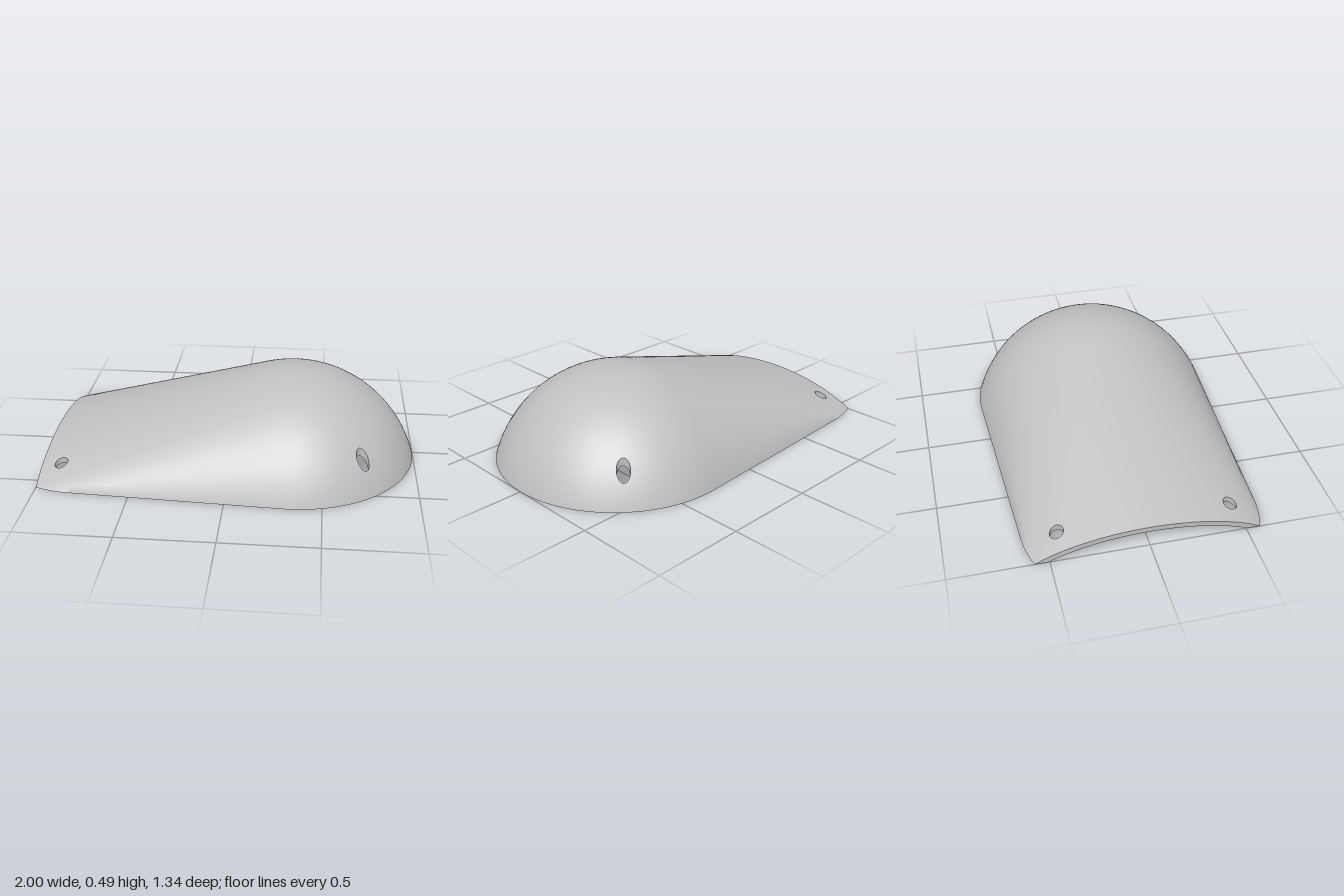
import * as THREE from 'three';

const CX = 0.33, DEPTH = 0.213;      // dome sphere centre is (CX, -DEPTH, 0)
const DISC_X = -0.78;                // centre of the flat disc the tail tapers to
const ROWS_TAIL = 40, ROWS_DOME = 26, COLS = 48;
const HOLE_R = 0.035, HOLE_SEG = 28;
const HOLES = [[-0.89, 0.445], [-0.89, -0.445], [0.70, 0.445], [0.70, -0.445]];

// Upper hull of a sphere (radius R) and a horizontal disc (radius r, height y0).
// Returns a function giving the height and normal at any plan position.
function hullSurface(R, r, y0) {
  const dx = CX - DISC_X, d = DEPTH + y0;
  const sin0 = d / R, cos0 = Math.sqrt(1 - sin0 * sin0);
  const phi0 = Math.acos((r - (R - d * sin0) / cos0) / dx);

  // normal of the plane touching both the disc edge at phi and the sphere
  const normalAt = (phi) => {
    const a = r - dx * Math.cos(phi);
    const tilt = Math.atan2(d, a) + Math.acos(Math.min(1, R / Math.hypot(a, d)));
    return new THREE.Vector3(Math.cos(tilt) * Math.cos(phi), Math.sin(tilt), Math.cos(tilt) * Math.sin(phi));
  };
  const planeY = (phi, x, z) => {
    const n = normalAt(phi);
    const px = DISC_X + r * Math.cos(phi), pz = r * Math.sin(phi);
    return y0 + (n.x * (px - x) + n.z * (pz - z)) / n.y;
  };

  return (x, zSigned) => {
    const z = Math.abs(zSigned), side = zSigned < 0 ? -1 : 1;
    const steps = 36, step = (Math.PI - phi0) / steps;
    let best = phi0, low = Infinity;
    for (let k = 0; k <= steps; k++) {
      const y = planeY(phi0 + k * step, x, z);
      if (y < low) { low = y; best = phi0 + k * step; }
    }
    let a = Math.max(phi0, best - step), b = Math.min(Math.PI, best + step);
    for (let k = 0; k < 26; k++) {
      const p = a + (b - a) / 3, q = b - (b - a) / 3;
      if (planeY(p, x, z) < planeY(q, x, z)) b = q; else a = p;
    }
    const phi = (a + b) / 2, n = normalAt(phi);
    const qx = CX + R * n.x, qz = R * n.z;
    const px = DISC_X + r * Math.cos(phi), pz = r * Math.sin(phi);
    let y = planeY(phi, x, z);
    if ((x - qx) * (qx - px) + (z - qz) * (qz - pz) > 0) {   // past the taper: dome
      const h = Math.sqrt(Math.max(0, R * R - (x - CX) ** 2 - z * z));
      y = h - DEPTH;
      n.set(x - CX, h, z).normalize();
    }
    n.z *= side;
    return { y, n };
  };
}

// One skin of the shell as a grid with round holes; also returns its edges.
function buildSkin(R, r, y0, flip) {
  const surface = hullSurface(R, r, y0);
  const baseR = Math.sqrt(R * R - DEPTH * DEPTH);
  const halfWidth = (x) => {
    let a = 0, b = 0.8;
    for (let k = 0; k < 30; k++) {
      const m = (a + b) / 2;
      if (surface(x, m).y > 0) a = m; else b = m;
    }
    return a;
  };

  const xs = [];
  for (let i = 0; i < ROWS_TAIL; i++) xs.push(-1 + (CX + 1) * i / ROWS_TAIL);
  for (let i = 0; i <= ROWS_DOME; i++) xs.push(CX + baseR * Math.sin(Math.PI / 2 * i / ROWS_DOME));
  const rows = xs.length;

  const positions = [], normals = [], index = [];
  const addVertex = (x, z) => {
    const { y, n } = surface(x, z);
    positions.push(x, Math.max(0, y), z);
    normals.push(...(flip ? n.negate() : n).toArray());
    return positions.length / 3 - 1;
  };
  const point = (v) => new THREE.Vector3().fromArray(positions, v * 3);
  const face = (a, b, c) => flip ? index.push(a, c, b) : index.push(a, b, c);

  const grid = xs.map((x) => {
    const w = halfWidth(x);
    return Array.from({ length: COLS + 1 }, (_, j) => addVertex(x, w * (2 * j / COLS - 1)));
  });

  // replace a block of cells around each hole by a patch with a round opening
  const skip = new Set(), circles = [];
  for (const [hx, hz] of HOLES) {
    const margin = HOLE_R + 0.006;
    const i0 = xs.findLastIndex((x) => x <= hx - margin);
    const i1 = xs.findIndex((x) => x >= hx + margin);
    let s0 = 1, s1 = -1;
    const circle = [];
    for (let k = 0; k < HOLE_SEG; k++) {
      const t = 2 * Math.PI * k / HOLE_SEG, cx = Math.cos(t), cz = Math.sin(t);
      const s = (hz + margin * cz) / halfWidth(hx + margin * cx);
      s0 = Math.min(s0, s);
      s1 = Math.max(s1, s);
      circle.push(addVertex(hx + HOLE_R * cx, hz + HOLE_R * cz));
    }
    const j0 = Math.max(0, Math.floor((s0 + 1) / 2 * COLS));
    const j1 = Math.min(COLS, Math.ceil((s1 + 1) / 2 * COLS));
    for (let i = i0; i < i1; i++) for (let j = j0; j < j1; j++) skip.add(i * COLS + j);

    const border = [];
    for (let i = i0; i < i1; i++) border.push(grid[i][j0]);
    for (let j = j0; j < j1; j++) border.push(grid[i1][j]);
    for (let i = i1; i > i0; i--) border.push(grid[i][j1]);
    for (let j = j1; j > j0; j--) border.push(grid[i0][j]);
    const plan = (v) => new THREE.Vector2(positions[v * 3], positions[v * 3 + 2]);
    const all = [...border, ...circle];
    for (const tri of THREE.ShapeUtils.triangulateShape(border.map(plan), [circle.map(plan)])) {
      const [a, b, c] = tri.map((k) => all[k]);
      const up = plan(b).sub(plan(a)).cross(plan(c).sub(plan(a))) < 0;
      if (up) face(a, b, c); else face(a, c, b);
    }
    circles.push([...circle, circle[0]].map(point));
  }

  for (let i = 0; i < rows - 1; i++) for (let j = 0; j < COLS; j++) {
    if (skip.has(i * COLS + j)) continue;
    const a = grid[i][j], b = grid[i][j + 1], c = grid[i + 1][j], d = grid[i + 1][j + 1];
    face(a, b, c);
    face(c, b, d);
  }

  const geometry = new THREE.BufferGeometry();
  geometry.setAttribute('position', new THREE.Float32BufferAttribute(positions, 3));
  geometry.setAttribute('normal', new THREE.Float32BufferAttribute(normals, 3));
  geometry.setIndex(index);
  const rim = [...grid.map((g) => point(g[COLS])), ...grid.map((g) => point(g[0])).reverse()];
  for (const p of rim) p.y = 0;
  return { geometry, rim, end: grid[0].map(point), circles };
}

// Band of quads joining two matching edges
function strip(A, B) {
  const index = [], n = A.length;
  for (let k = 0; k < n - 1; k++) index.push(k, k + 1, n + k, k + 1, n + k + 1, n + k);
  const geometry = new THREE.BufferGeometry().setFromPoints([...A, ...B]);
  geometry.setIndex(index);
  geometry.computeVertexNormals();
  return geometry;
}

export function createModel() {
  const group = new THREE.Group();
  group.name = 'taperedDomeCover';
  const grey = new THREE.MeshStandardMaterial({ color: 0xc0c0c0 });
  grey.name = 'light grey';
  const add = (name, geometry) => {
    const mesh = new THREE.Mesh(geometry, grey);
    mesh.name = name;
    group.add(mesh);
  };

  const outer = buildSkin(0.703, 0.615, 0, false);
  const inner = buildSkin(0.676, 0.593, -0.022, true);
  add('outerShell', outer.geometry);
  add('innerShell', inner.geometry);
  add('bottomRim', strip(inner.rim, outer.rim));
  add('openEndEdge', strip(inner.end, outer.end));
  HOLES.forEach((_, k) => add('screwHoleWall' + (k + 1), strip(inner.circles[k], outer.circles[k])));
  return group;
}
